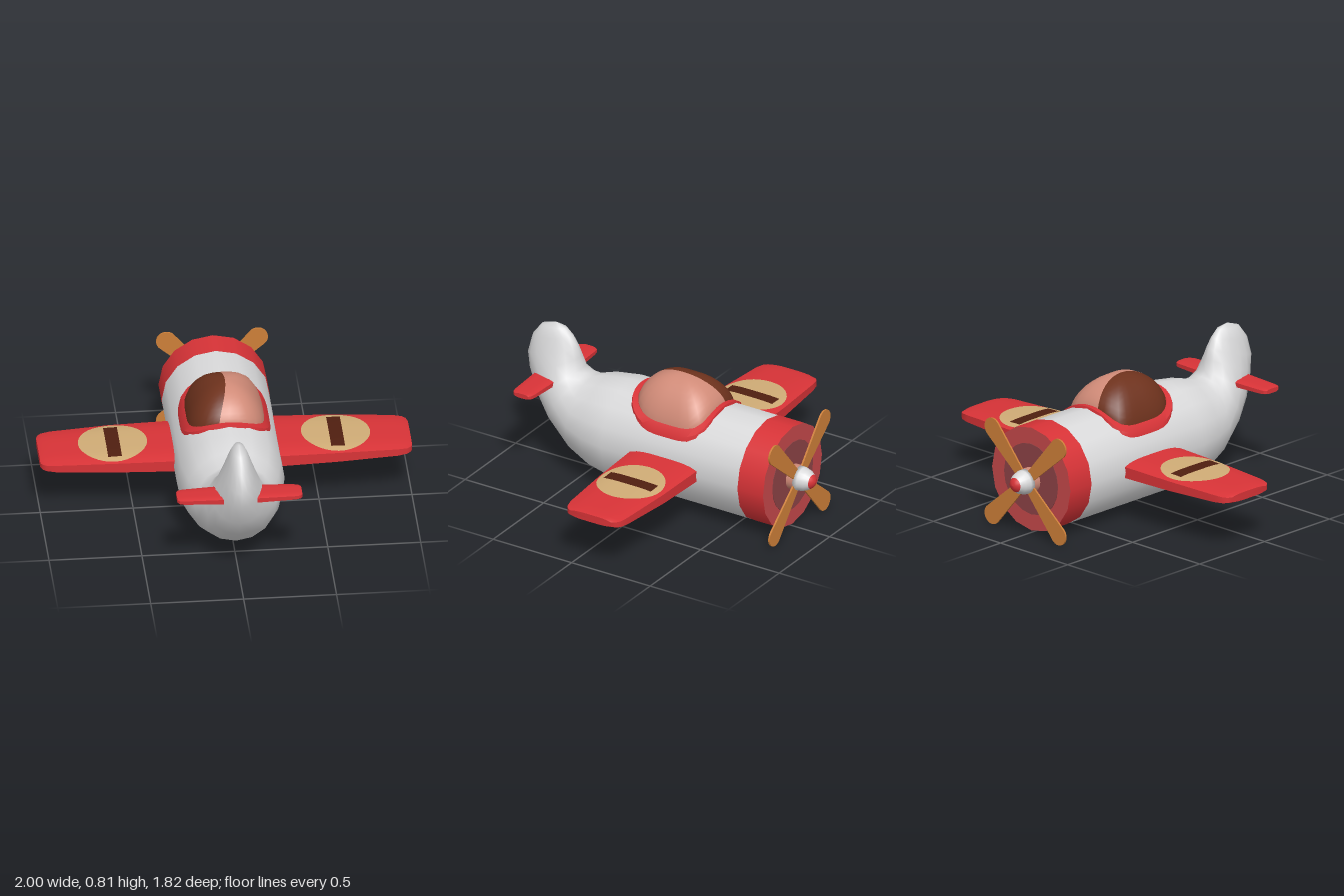
import * as THREE from 'three';
import { toCreasedNormals } from 'three/addons/utils/BufferGeometryUtils.js';

const paint = (name, color, side = THREE.FrontSide) => {
  const m = new THREE.MeshStandardMaterial({ color, side });
  m.name = name;
  return m;
};

// Skin over rows of [x, y, z] points; corner order is fixed so faces look outward
function skin(rows, closed, crease = 0.6, split = 0) {
  const n = rows[0].length, idx = [], p = rows.flat();
  const segs = closed ? n : n - 1;
  for (let j = 0; j < segs; j++) {
    for (let i = 0; i < rows.length - 1; i++) {
      const k = (j + 1) % n, a = i * n + j, b = i * n + k, c = a + n, d = b + n;
      idx.push(a, b, c, b, d, c);
    }
  }
  let volume = 0;
  const v = p.map(q => new THREE.Vector3(...q));
  for (let i = 0; i < idx.length; i += 3) {
    volume += v[idx[i]].dot(v[idx[i + 1]].clone().cross(v[idx[i + 2]]));
  }
  if (volume < 0) idx.reverse();
  const g = new THREE.BufferGeometry();
  g.setAttribute('position', new THREE.Float32BufferAttribute(p.flat(), 3));
  g.setIndex(idx);
  if (split) {
    // first "split" columns get one material, the rest the other
    const s = split * (rows.length - 1) * 6, rest = idx.length - s;
    if (volume < 0) { g.addGroup(0, rest, 1); g.addGroup(rest, s, 0); }
    else { g.addGroup(0, s, 0); g.addGroup(s, rest, 1); }
  }
  return toCreasedNormals(g, crease);
}

// Wing keys are [x, front z, back z, half thickness]
const wingKeys = [[0.2, -0.337, 0.092, 0.054], [0.6, -0.328, 0.078, 0.045], [0.92, -0.303, 0.058, 0.033],
  [0.97, -0.292, 0.046, 0.028], [0.99, -0.275, 0.03, 0.025], [1, -0.25, 0.01, 0.022]];
const finKeys = [[0.06, 0.672, 0.822, 0.023], [0.3, 0.686, 0.812, 0.017], [0.325, 0.692, 0.805, 0.015],
  [0.336, 0.705, 0.79, 0.013]];
const bulge = v => 1 - 0.4 * v ** 4;

function wingGeometry(keys, side) {
  const rows = keys.map(([x, f, b, h]) => {
    const row = [];
    for (const s of [1, -1]) {
      for (let i = 0; i <= 10; i++) {
        const v = s * (i / 5 - 1);
        row.push([side * x, s * h * bulge(v), (f + b) / 2 + v * (b - f) / 2]);
      }
    }
    return row;
  });
  const [x, f, b] = keys[keys.length - 1];
  rows.push(rows[0].map(() => [side * x, 0, (f + b) / 2]));
  return skin(rows, true, 0.5);
}

// Height of the wing's upper surface
function wingHeight(x, z) {
  const i = wingKeys.findIndex((k, n) => n > 0 && x <= k[0]);
  const a = wingKeys[i - 1], b = wingKeys[i], t = (x - a[0]) / (b[0] - a[0]);
  const [, f, r, h] = a.map((q, n) => q + (b[n] - q) * t);
  return h * bulge((z - (f + r) / 2) / ((r - f) / 2));
}

// Canopy outline: squarer toward the nose, rounder toward the tail
const canopyZ = -0.07;
function outline(theta, grow = 0) {
  const s = Math.sin(theta), c = Math.cos(theta), n = c < 0 ? 5 : 2.7;
  const r = 1 / (Math.abs(s / (0.21 + grow)) ** n + Math.abs(c / (0.235 + grow)) ** n) ** (1 / n);
  return [r * s, r * c];
}
const bodyTop = x => 0.305 + Math.sqrt(0.29 ** 2 - x * x);

export function createModel() {
  const model = new THREE.Group();
  const white = paint('body white', 0xdadadb);
  const red = paint('red', 0xd83337);
  const noseRed = paint('nose face red', 0xc4484a);
  const engineRed = paint('dark engine red', 0x8c4245);
  const glass = paint('pink canopy', 0xd18b78);
  const darkGlass = paint('brown canopy', 0x6e321d);
  const tan = paint('tan', 0xd0ac76, THREE.DoubleSide);
  const brown = paint('dark brown', 0x501f10, THREE.DoubleSide);
  const wood = paint('wood orange', 0xcd7f38);
  const add = (name, geo, mat) => {
    const m = new THREE.Mesh(geo, mat);
    m.name = name;
    model.add(m);
    return m;
  };

  // Fuselage curling up into the tail: [bottom z, y, top z, y, half width]
  const ribs = [[-0.6, 0.015, -0.6, 0.597, 0.29], [0.27, 0.015, 0.27, 0.597, 0.29],
    [0.42, 0.045, 0.42, 0.575, 0.262], [0.57, 0.11, 0.51, 0.545, 0.222], [0.74, 0.25, 0.55, 0.552, 0.176],
    [0.83, 0.37, 0.575, 0.577, 0.143], [0.895, 0.51, 0.587, 0.64, 0.107], [0.913, 0.6, 0.605, 0.695, 0.082],
    [0.887, 0.705, 0.635, 0.75, 0.056], [0.83, 0.78, 0.675, 0.79, 0.034], [0.745, 0.81, 0.745, 0.81, 0]];
  add('fuselage', skin(ribs.map(([bz, by, tz, ty, w]) => Array.from({ length: 16 }, (_, k) => {
    const t = k / 16 * Math.PI * 2, m = (1 - Math.cos(t)) / 2;
    return [w * Math.sin(t), by + (ty - by) * m, bz + (tz - bz) * m];
  })), true, 1.5), white);

  // Nose ring and engine face
  const ring = new THREE.CylinderGeometry(0.292, 0.292, 0.163, 16).rotateX(Math.PI / 2);
  add('noseRing', ring, [red, red, noseRed]).position.set(0, 0.306, -0.6815);
  const engine = new THREE.CylinderGeometry(0.2, 0.2, 0.004, 20).rotateX(Math.PI / 2);
  add('engineFace', engine, engineRed).position.set(0, 0.306, -0.764);

  // Canopy dome in two colours, meeting on a curved line
  const dome = [];
  for (let i = 0; i <= 10; i++) {
    const s = Math.sin(i / 10 * Math.PI / 2), d = 0.22 * s, row = [];
    for (let j = 0; j < 32; j++) {
      const theta = j < 16 ? Math.PI + d + j / 16 * (Math.PI - 2 * d)
        : 2 * Math.PI - d + (j - 16) / 16 * (Math.PI + 2 * d);
      const [x, z] = outline(theta), base = bodyTop(x) - 0.005;
      row.push([x * s, base + (0.735 - base) * Math.max(0, 1 - s * s) ** 0.62, canopyZ + z * s]);
    }
    dome.push(row);
  }
  add('canopy', skin(dome, true, 1.2, 16), [darkGlass, glass]);

  // Raised canopy frame lying on the fuselage
  const frame = [[-0.012, -0.01], [0, 0.012], [0.028, 0.012], [0.034, -0.02]];
  add('canopyFrame', skin(frame.map(([grow, lift]) => Array.from({ length: 40 }, (_, j) => {
    const [x, z] = outline(j / 40 * Math.PI * 2, grow);
    return [x, bodyTop(x) + lift, canopyZ + z];
  })), true, 0.6), red);

  for (const side of [1, -1]) {
    const label = side > 0 ? 'left' : 'right';
    add(label + 'Wing', wingGeometry(wingKeys, side), red).position.y = 0.303;
    add(label + 'TailFin', wingGeometry(finKeys, side), red).position.y = 0.505;

    // Painted disc and bar above and below each wing
    for (const up of [1, -1]) {
      const place = up > 0 ? 'Upper' : 'Lower';
      const on = (x, z, lift) => [side * x, up * (wingHeight(x, z) + lift), z];
      const disc = [], bar = [];
      for (let i = 0; i <= 7; i++) {
        disc.push(Array.from({ length: 36 }, (_, j) => {
          const t = j / 36 * Math.PI * 2, r = 0.186 * i / 7;
          return on(0.6 + r * Math.cos(t), -0.12 + r * Math.sin(t), 0.003);
        }));
      }
      for (let i = 0; i <= 10; i++) {
        bar.push([0.563, 0.6, 0.637].map(x => on(x, -0.27 + 0.03 * i, 0.006)));
      }
      add(label + place + 'Disc', skin(disc, true), tan).position.y = 0.303;
      add(label + place + 'Bar', skin(bar, false), brown).position.y = 0.303;
    }
  }

  // Propeller blades, wider toward rounded tips
  const blade = new THREE.Shape();
  blade.moveTo(-0.025, 0);
  blade.lineTo(0.025, 0);
  blade.lineTo(0.055, 0.345);
  blade.absarc(0, 0.348, 0.055, 0, Math.PI, false);
  blade.closePath();
  const bladeGeo = new THREE.ExtrudeGeometry(blade, { depth: 0.01, bevelEnabled: false, curveSegments: 10 });
  for (let i = 0; i < 4; i++) {
    const b = add('propellerBlade', bladeGeo, wood);
    b.position.set(0, 0.303, -0.812);
    b.rotation.z = Math.PI / 4 + i * Math.PI / 2;
  }

  // Shaft, spinner and its red tip
  const lathe = (name, pts, mat) => {
    const g = new THREE.LatheGeometry(pts.map(q => new THREE.Vector2(...q)), 20).rotateX(-Math.PI / 2);
    add(name, g, mat).position.y = 0.303;
  };
  lathe('propellerShaft', [[0.07, 0.76], [0.07, 0.806]], glass);
  lathe('spinner', [[0, 0.803], [0.069, 0.803], [0.066, 0.83], [0.057, 0.862], [0.04, 0.888]], white);
  lathe('spinnerTip', [[0.04, 0.888], [0.03, 0.899], [0.016, 0.907], [0, 0.91]], red);
  return model;
}
